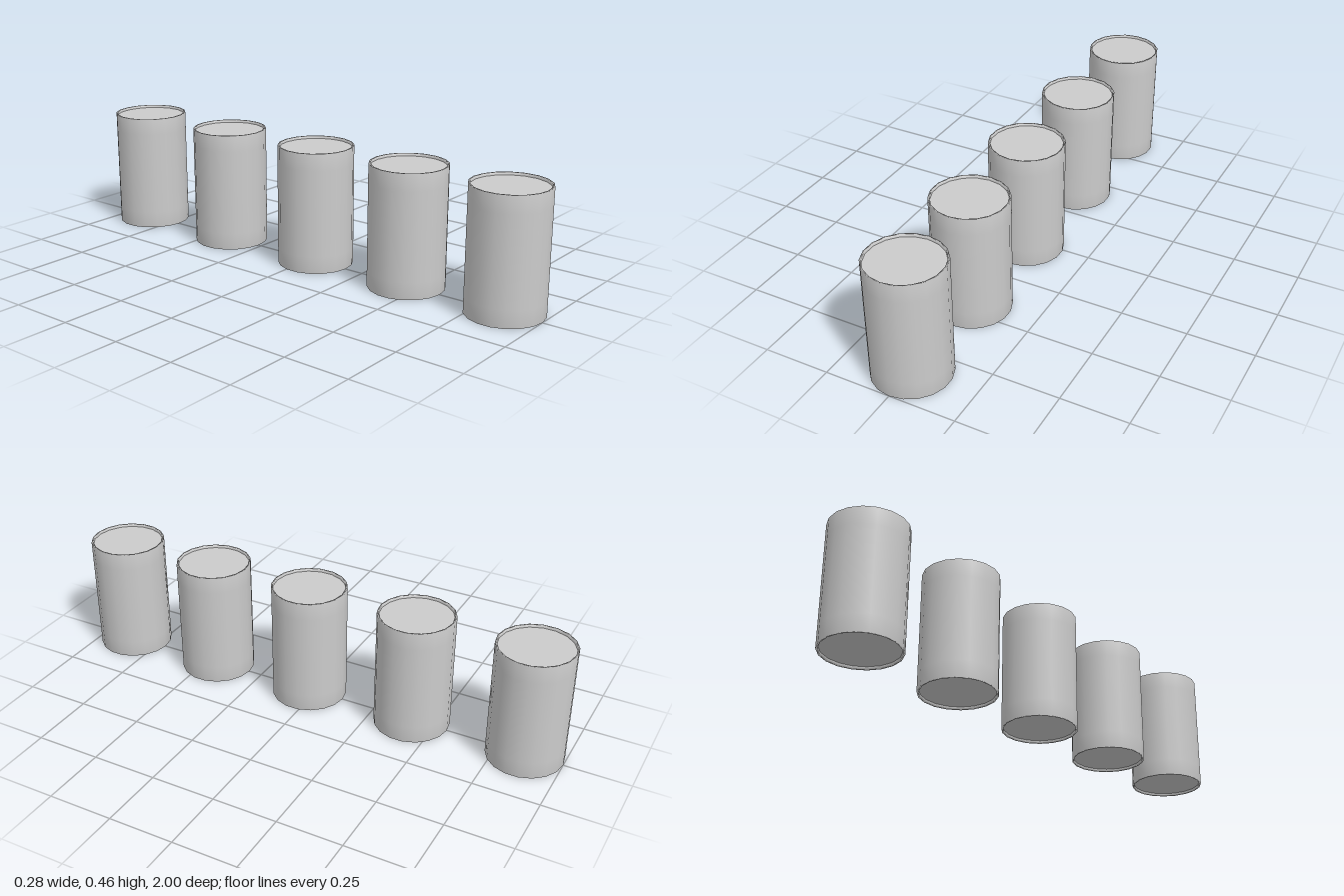
import * as THREE from 'three';

const RADIUS = 0.144, INNER = 0.137, HEIGHT = 0.462, RECESS = 0.01, SIDES = 18;

export function createModel() {
  const material = new THREE.MeshStandardMaterial({ color: 0xcccccc });

  // Can wall with a thin rim at both ends; smooth normals soften the end bands
  const profile = [
    [INNER, RECESS], [INNER, 0], [RADIUS, 0], [RADIUS, 0.065],
    [RADIUS, HEIGHT - 0.065], [RADIUS, HEIGHT], [INNER, HEIGHT], [INNER, HEIGHT - RECESS],
  ].map(([x, y]) => new THREE.Vector2(x, y));
  const wallGeometry = new THREE.LatheGeometry(profile, SIDES);

  // Flat recessed lids, turned to share corners with the wall
  const lidGeometry = (y, up) => new THREE.CircleGeometry(INNER, SIDES)
    .rotateZ(Math.PI / 2)
    .rotateX(up ? -Math.PI / 2 : Math.PI / 2)
    .rotateY(up ? Math.PI : 0)
    .translate(0, y, 0);
  const topGeometry = lidGeometry(HEIGHT - RECESS, true);
  const bottomGeometry = lidGeometry(RECESS, false);

  const model = new THREE.Group();
  model.name = 'canRow';

  // Row of five slightly unevenly spaced cans
  [0.856, 0.449, 0.029, -0.408, -0.856].forEach((z, i) => {
    const can = new THREE.Group();
    can.name = `can${i + 1}`;
    can.position.z = z;
    const parts = { canWall: wallGeometry, topLid: topGeometry, bottomLid: bottomGeometry };
    for (const [name, geometry] of Object.entries(parts)) {
      const mesh = new THREE.Mesh(geometry, material);
      mesh.name = name;
      can.add(mesh);
    }
    model.add(can);
  });
  return model;
}
